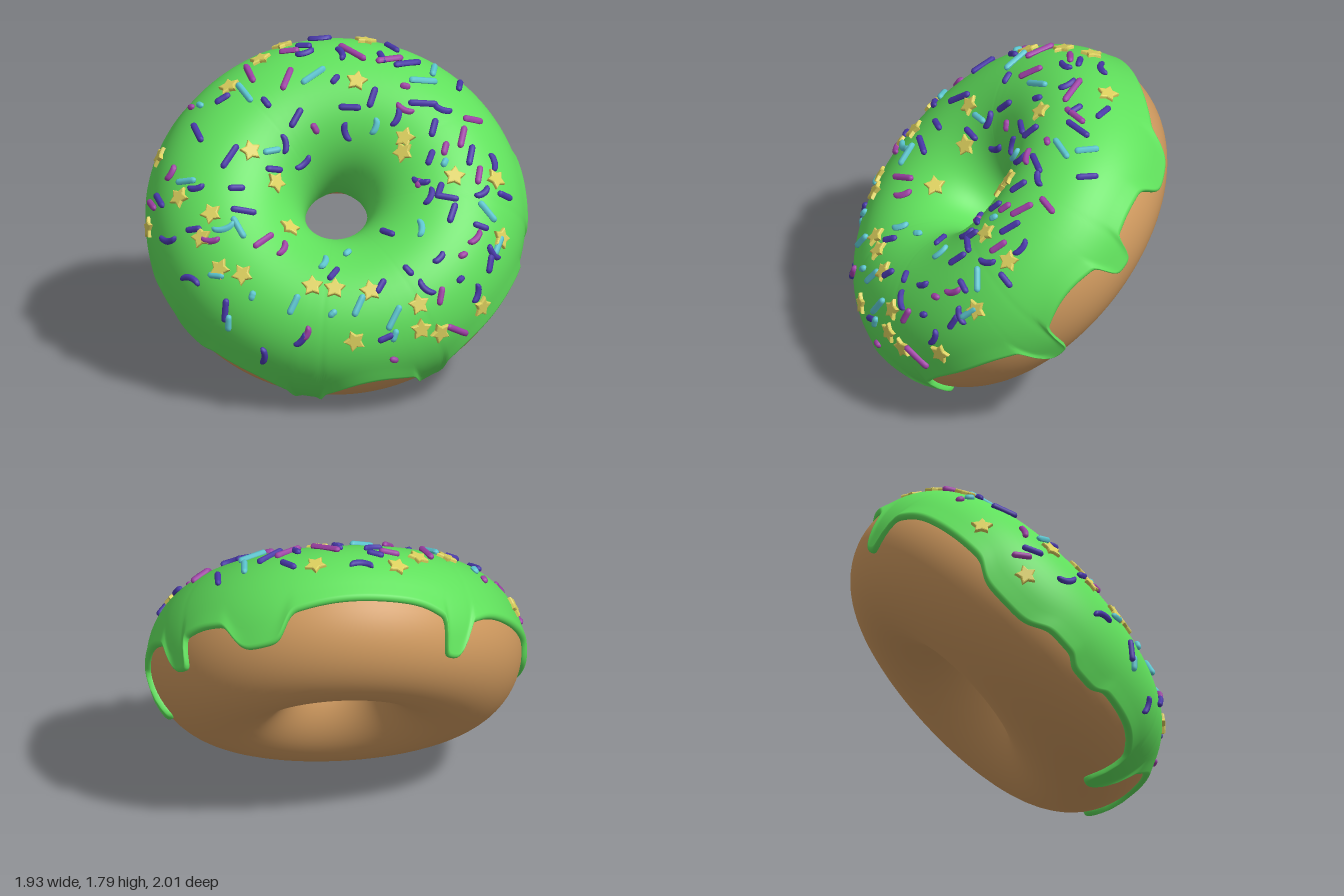
import * as THREE from 'three';

const RING = 0.62, DOUGH = 0.428, ICING = 0.018;
const CENTRE = new THREE.Vector3(0.017, 0.9, -0.019);
const rad = THREE.MathUtils.degToRad;

const mat = (name, color) => Object.assign(new THREE.MeshStandardMaterial({ color }), { name });
const MATS = {
  dough: mat('dough brown', 0xd09a5f),
  icing: mat('icing green', 0x60e05c),
  indigo: mat('indigo sprinkle', 0x4838a8),
  magenta: mat('magenta sprinkle', 0x9f41a6),
  cyan: mat('cyan sprinkle', 0x5cc6d0),
  star: mat('yellow star', 0xdcd05e),
};

// Icing drips: angle round the ring, depth down the side, half width (degrees)
const DRIPS = [
  [-172, 14, 13], [-138, 9, 7], [-98, 44, 4.5], [-59, 36, 4.5], [-8, 43, 5],
  [28, 29, 5], [62, 27, 9.5], [128, 36, 4.5],
];

// Tube angle of the icing's outer rim at ring angle a (degrees)
function rimAngle(a) {
  let t = 1 + 1.5 * Math.sin(rad(a * 5)) + 8 * Math.exp(-(((a + 79) / 14) ** 2));
  for (const [at, depth, w] of DRIPS) {
    const d = Math.abs(((a - at + 540) % 360) - 180) / w;
    t -= depth * (0.7 * Math.exp(-(d ** 5)) + 0.3 * Math.exp(-((d / 2.1) ** 2)));
  }
  return t;
}

// Icing shell: a cross-section with rounded rims swept round the ring
function icingGeometry() {
  const N = 480, CAP = 6, MID = 36, pos = [], idx = [];
  const thick = (d) => ICING + 0.016 * Math.exp(-((d / 0.14) ** 2));
  let rows = 0;
  for (let i = 0; i < N; i++) {
    const a = (i / N) * 360 - 180, phi = rad(a);
    const t0 = rad(rimAngle(a)), t1 = rad(191 + 2 * Math.sin(phi * 3) + Math.sin(phi * 7));
    const section = [[t0 + 0.02, -0.01]], tail = [[t1 - 0.02, -0.01]];
    const capW = 0.08;
    for (let k = 0; k <= CAP; k++) {
      const q = (k / CAP) * Math.PI / 2, d = capW * (1 - Math.cos(q));
      section.push([t0 + d, thick(d) * Math.sin(q)]);
      tail.push([t1 - d, ICING * Math.sin(q)]);
    }
    const s0 = t0 + capW, s1 = t1 - capW;
    for (let k = 1; k < MID; k++) {
      const t = s0 + (s1 - s0) * k / MID;
      section.push([t, thick(t - t0)]);
    }
    section.push(...tail.reverse());
    rows = section.length;
    for (const [t, h] of section) {
      const r = DOUGH + h, p = RING + r * Math.cos(t);
      pos.push(p * Math.cos(phi), p * Math.sin(phi), r * Math.sin(t));
    }
  }
  for (let i = 0; i < N; i++) for (let j = 0; j < rows - 1; j++) {
    const a = i * rows + j, b = ((i + 1) % N) * rows + j;
    idx.push(a, b, b + 1, a, b + 1, a + 1);
  }
  const g = new THREE.BufferGeometry();
  g.setAttribute('position', new THREE.Float32BufferAttribute(pos, 3));
  g.setIndex(idx);
  g.computeVertexNormals();
  return g;
}

// Rounded rod along x, optionally bent into a small arc
function rodGeometry(len, bend) {
  const R = 0.019;
  const g = new THREE.CapsuleGeometry(R, Math.max(len - 2 * R, 0.015), 3, 8, 6).rotateZ(Math.PI / 2);
  const p = g.attributes.position;
  for (let i = 0; i < p.count; i++) p.setY(i, p.getY(i) + bend * (p.getX(i) ** 2 - len * len / 12));
  g.computeVertexNormals();
  return g;
}

function starGeometry() {
  const s = new THREE.Shape();
  for (let i = 0; i < 10; i++) {
    const r = i % 2 ? 0.028 : 0.053, a = (i / 10) * Math.PI * 2;
    s[i ? 'lineTo' : 'moveTo'](r * Math.cos(a), r * Math.sin(a));
  }
  s.closePath();
  return new THREE.ExtrudeGeometry(s, {
    depth: 0.014, bevelEnabled: true, bevelSize: 0.008, bevelThickness: 0.008, bevelSegments: 2,
  }).translate(0, 0, -0.009);
}

// Sprinkles dropped from the front: x, y, turn in degrees, length
const FRONT = {
  indigo: [
    [-.63, 1.1, -45, .15], [-.93, .8, 80, .1], [-.93, .62, 85, .14], [-.78, .5, 30, .09], [-.47, .51, 15, .1],
    [-.86, .38, 70, .1], [-.41, .78, 40, .1], [-.23, .76, -50, .11], [-.26, .85, -60, .08], [-.1, .9, 20, .08],
    [-.04, .78, 20, .05], [.05, .68, 70, .1], [.17, .82, 65, .11], [.21, .87, -60, .1], [.19, 1.02, -40, .1],
    [.09, 1.1, 60, .13], [.12, 1.2, 70, .1], [.3, 1.17, 10, .1], [.44, 1.12, -40, .11], [.48, 1.28, 70, .1],
    [.37, 1.34, 60, .14], [-.14, 1.25, 30, .1], [-.53, .83, 25, .1], [.05, 1.42, -65, .1], [.2, 1.34, 65, .1],
    [.07, 1.17, 65, .1], [-.58, 1.2, -35, .1], [.1, 1.55, -25, .13], [.2, 1.6, 65, .13], [.22, 1.51, 55, .1],
    [.31, 1.47, 70, .12], [.42, 1.54, -60, .1],
  ],
  magenta: [
    [-.66, .97, 0, .15], [-.61, .93, 50, .1], [-.17, .71, 70, .11], [-.08, .49, -28, .18], [-.42, .37, -10, .05],
    [-.76, .54, 50, .08], [.02, .9, 0, .06], [.13, .97, 25, .1], [.34, 1.25, 60, .12], [.4, 1.42, 60, .15],
    [.54, 1.47, -45, .13], [.09, 1.22, 70, .06], [.28, 1.38, 70, .09], [.27, 1.55, -50, .1], [-.06, 1.44, -60, .07],
  ],
  cyan: [
    [-.71, 1.03, -70, .15], [-.76, .69, 45, .13], [-.65, .65, 15, .06], [-.54, .69, 50, .14], [-.42, .62, 50, .16],
    [-.51, .87, 65, .09], [-.43, .52, 65, .08], [-.37, .9, 10, .06], [.26, .9, 45, .13], [.27, 1.08, -70, .15],
    [.23, 1.32, 50, .06], [-.86, .72, 60, .06], [-.93, .55, 80, .1], [.14, 1.46, 60, .09],
  ],
  star: [
    [-.84, .97], [-.84, .82], [-.65, .78], [-.58, .77], [-.46, .76], [-.29, .68], [-.3, .54],
    [-.19, .5], [-.6, .5], [.09, .59], [.3, .93], [.43, 1.21], [.22, 1.26], [.19, 1.42], [.15, 1.35],
    [-.4, 1.36], [-.35, 1.19], [-.45, .99], [.2, 1.67],
  ],
};

// Sprinkles dropped from above: x, z, turn in degrees, length
const ABOVE = {
  indigo: [
    [-.74, -.68, 30, .13], [-.48, -.62, 45, .16], [-.28, -.6, -30, .1], [-.5, -.37, 15, .17], [-.19, -.36, 65, .08],
    [-.86, -.52, -60, .12], [-.83, -.36, -50, .1], [-.7, -.45, -50, .09], [-.33, -.19, -50, .11], [-.22, -.2, 60, .1],
    [-.12, -.2, 30, .13], [.17, -.37, -30, .1], [.23, -.43, -70, .1], [.37, -.43, -55, .12], [.13, -.12, 10, .07],
    [.28, -.2, 55, .1], [.57, -.07, 80, .12], [.5, .1, -20, .18], [.68, .33, 35, .13], [.36, .33, -50, .17],
    [.42, -.02, 60, .1], [-.93, -.3, 80, .12], [-.16, .5, 85, .11], [.1, .53, -75, .1], [.12, .7, -65, .14],
  ],
  magenta: [
    [-.72, -.75, 50, .12], [-.66, -.66, -20, .09], [-.09, -.56, 50, .18], [-.03, -.34, 20, .16], [.15, -.47, -60, .12],
    [.33, -.16, 87, .2], [.44, .02, -25, .17], [-.31, -.8, 80, .05], [.36, .2, -60, .06], [-.83, -.24, -60, .1],
  ],
  cyan: [
    [-.21, -.5, 60, .17], [.07, -.23, -8, .17], [-.32, -.73, 70, .06], [-.69, -.53, -60, .13], [-.3, -.23, -25, .11],
    [.47, .24, -40, .17], [.61, .2, 35, .14], [-.76, -.2, -30, .12], [-.9, -.14, -70, .1], [-.07, .67, 35, .1],
  ],
  star: [
    [-.52, -.86], [-.2, -.62], [.04, -.59], [.23, -.58], [.52, -.22], [-.75, -.53], [-.75, -.3], [-.75, -.75],
    [-.88, -.13],
  ],
};

export function createModel() {
  const model = new THREE.Group();
  model.name = 'doughnut';

  // Tilted frame: local z is the ring's axis
  const n = new THREE.Vector3(-0.555, 0.71, 0.433).normalize();
  const u = new THREE.Vector3(n.z, 0, -n.x).normalize();
  const v = new THREE.Vector3().crossVectors(n, u);
  const frame = new THREE.Matrix4().makeBasis(u, v, n);
  const body = new THREE.Group();
  body.name = 'tiltedRing';
  body.quaternion.setFromRotationMatrix(frame);
  body.position.copy(CENTRE);
  model.add(body);
  const toLocal = frame.clone().invert();

  const add = (name, geometry, material) => {
    const m = new THREE.Mesh(geometry, material);
    m.name = name;
    body.add(m);
    return m;
  };
  add('dough', new THREE.TorusGeometry(RING, DOUGH, 64, 160), MATS.dough);
  add('icing', icingGeometry(), MATS.icing);

  // Drop each sprinkle along a ray until it lands on the icing, then lay it flat
  const star = starGeometry();
  const scatter = (lists, above) => {
    for (const [kind, items] of Object.entries(lists)) items.forEach(([x, y, turn = x * 900, len], i) => {
      const a = rad(turn);
      const start = (above ? new THREE.Vector3(x, 3, y) : new THREE.Vector3(x, y, 2)).sub(CENTRE);
      const dir = above ? new THREE.Vector3(0, -1, 0) : new THREE.Vector3(0, 0, -1);
      const along = above ? new THREE.Vector3(Math.cos(a), 0, -Math.sin(a)) : new THREE.Vector3(Math.cos(a), Math.sin(a), 0);
      for (const w of [start, dir, along]) w.applyMatrix4(toLocal);
      const p = start;
      let gap = 1;
      for (let k = 0; k < 120 && gap > 0.0005; k++) {
        gap = Math.hypot(Math.hypot(p.x, p.y) - RING, p.z) - DOUGH - ICING;
        p.addScaledVector(dir, gap);
      }
      if (gap > 0.01) return;
      const core = new THREE.Vector3(p.x, p.y, 0).setLength(RING);
      const up = p.clone().sub(core).normalize();
      along.addScaledVector(up, -along.dot(up)).normalize();
      const side = new THREE.Vector3().crossVectors(up, along);
      const curved = len > 0.07 && len < 0.125 && i % 2;
      const geometry = kind === 'star' ? star : curved ? rodGeometry(len * 1.15, 5) : rodGeometry(len, 0);
      const m = add(kind === 'star' ? 'starSprinkle' : kind + 'Sprinkle', geometry, MATS[kind]);
      m.quaternion.setFromRotationMatrix(new THREE.Matrix4().makeBasis(along, side, up));
      m.position.copy(p).addScaledVector(up, 0.006);
    });
  };
  scatter(FRONT, false);
  scatter(ABOVE, true);
  return model;
}
